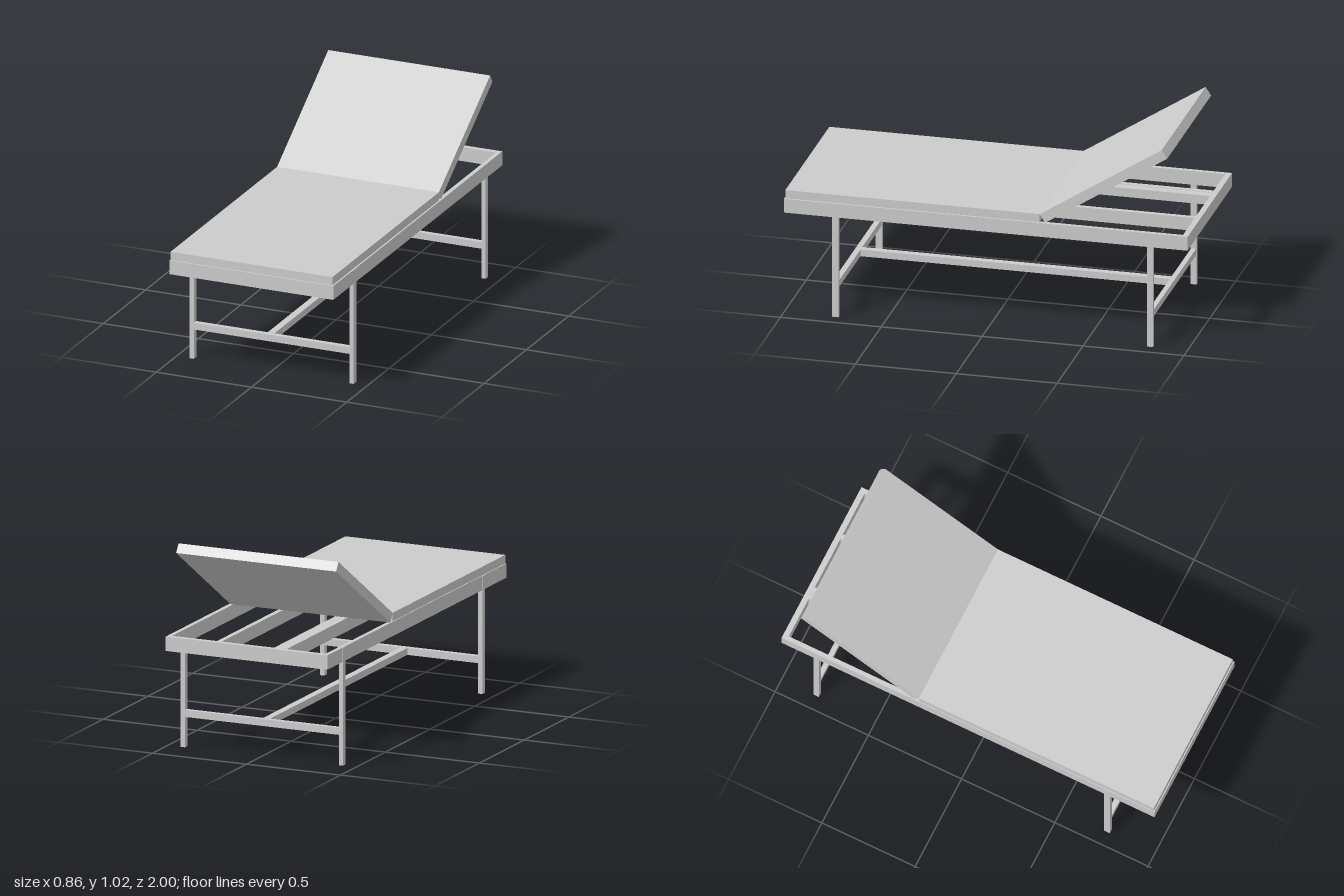
import * as THREE from 'three';

export function createModel() {
  const model = new THREE.Group();
  model.name = 'recliningBed';
  const material = new THREE.MeshStandardMaterial({ color: 0xcccccc, flatShading: true });

  // Box given by its lower and upper limits on each axis
  function bar(name, [x0, x1], [y0, y1], [z0, z1]) {
    const mesh = new THREE.Mesh(new THREE.BoxGeometry(x1 - x0, y1 - y0, z1 - z0), material);
    mesh.position.set((x0 + x1) / 2, (y0 + y1) / 2, (z0 + z1) / 2);
    mesh.name = name;
    model.add(mesh);
    return mesh;
  }

  // Bed frame: side rails and end rails
  const frameY = [0.514, 0.585];
  bar('leftRail', [0.408, 0.43], frameY, [-1, 1]);
  bar('rightRail', [-0.43, -0.408], frameY, [-1, 1]);
  bar('footRail', [-0.408, 0.408], frameY, [0.972, 1]);
  bar('headRail', [-0.408, 0.408], frameY, [-1, -0.972]);

  // Lengthwise slats, one with a flange along its upper edge
  bar('leftSlat', [0.15, 0.175], [0.516, 0.582], [-0.972, 0.972]);
  bar('rightSlat', [-0.195, -0.17], [0.516, 0.582], [-0.972, 0.972]);
  bar('slatFlange', [-0.17, -0.125], [0.56, 0.58], [-0.972, 0.972]);

  // Legs, with a cross bar between each pair
  for (const [end, z0, z1] of [['front', 0.729, 0.761], ['back', -0.829, -0.8]]) {
    bar(end + 'LeftLeg', [0.409, 0.431], [0, 0.583], [z0, z1]);
    bar(end + 'RightLeg', [-0.431, -0.409], [0, 0.583], [z0, z1]);
    bar(end + 'CrossBar', [-0.409, 0.409], [0.15, 0.184], [z0 + 0.002, z1 - 0.002]);
  }
  bar('centreStretcher', [-0.033, 0.003], [0.151, 0.185], [-0.802, 0.731]);

  // Flat mattress
  const padX = [-0.427, 0.423];
  bar('mattress', padX, [0.586, 0.628], [-0.265, 0.995]);

  // Raised backrest: slab hinged at the mattress edge
  const hinge = new THREE.Group();
  hinge.name = 'backrest';
  hinge.position.set(0, 0.628, -0.265);
  hinge.rotation.x = Math.atan2(0.39, 0.605);
  const slab = bar('backrestPad', padX, [-0.05, 0], [-0.72, 0]);
  hinge.add(slab);
  model.add(hinge);

  return model;
}
